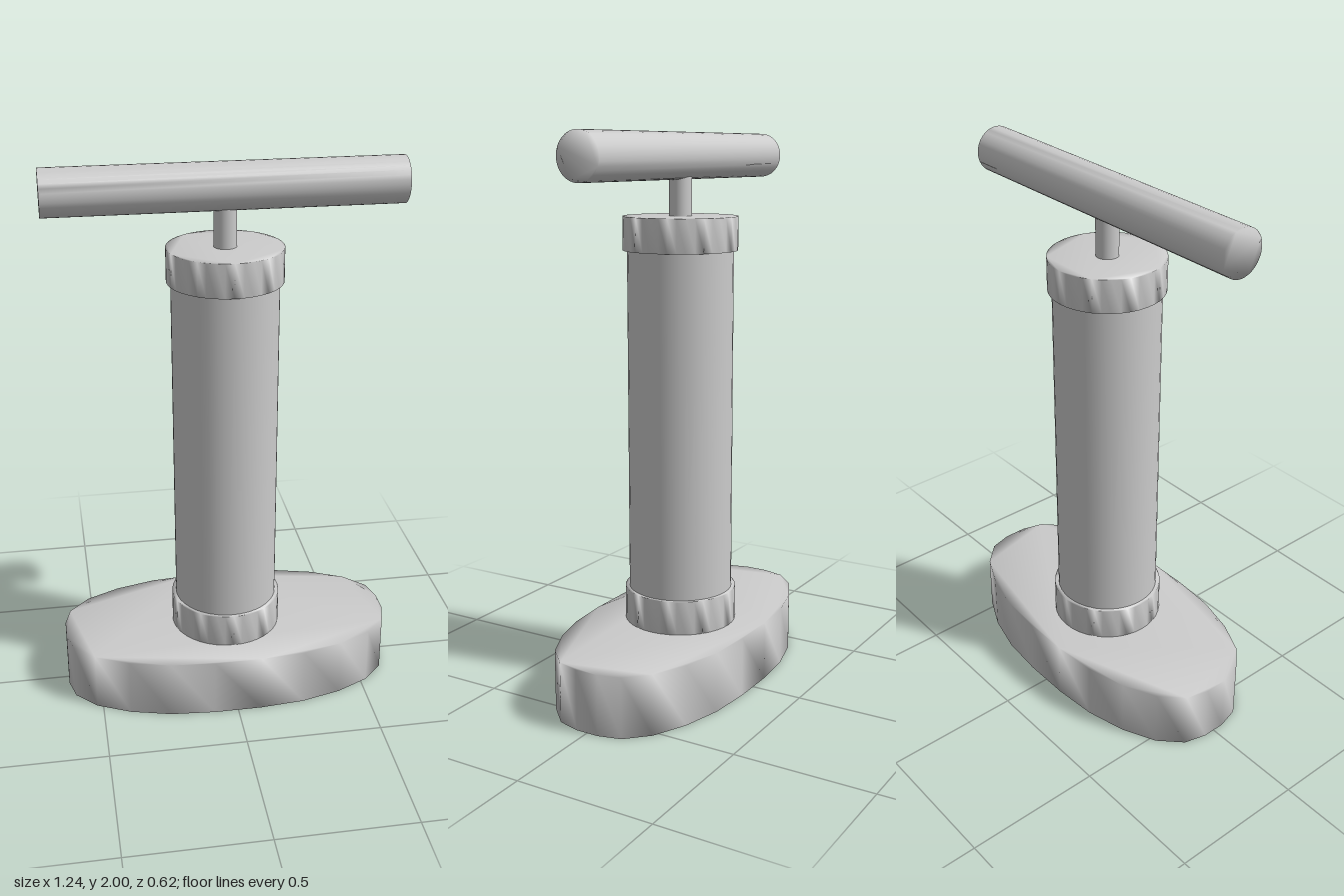
import * as THREE from 'three';
import { mergeVertices } from 'three/addons/utils/BufferGeometryUtils.js';

const material = new THREE.MeshStandardMaterial({ color: 0xcccccc });

// Closed prism along +z whose normals are shared between sides and caps.
function softPrism(points, length) {
  let geometry = new THREE.ExtrudeGeometry(new THREE.Shape(points), {
    depth: length, bevelEnabled: false, steps: 1,
  });
  geometry.deleteAttribute('uv');
  geometry.deleteAttribute('normal');
  geometry = mergeVertices(geometry, 1e-4);
  geometry.computeVertexNormals();
  return geometry;
}

function circle(radius, sides) {
  return Array.from({ length: sides }, (_, i) => {
    const a = (i / sides) * Math.PI * 2;
    return new THREE.Vector2(Math.cos(a) * radius, Math.sin(a) * radius);
  });
}

// Full outline of the foot plate, mirrored from one quarter.
function footOutline() {
  const quarter = [[0.62, 0.043], [0.598, 0.125], [0.522, 0.202], [0.4, 0.26], [0.252, 0.298], [0.088, 0.312]];
  const back = [...quarter].reverse();
  return [
    ...quarter,
    ...back.map(([x, y]) => [-x, y]),
    ...quarter.map(([x, y]) => [-x, -y]),
    ...back.map(([x, y]) => [x, -y]),
  ].map(([x, y]) => new THREE.Vector2(x, y));
}

export function createModel() {
  const group = new THREE.Group();
  const add = (name, geometry) => {
    const mesh = new THREE.Mesh(geometry, material);
    mesh.name = name;
    group.add(mesh);
    return mesh;
  };
  const upright = (name, points, bottom, top) => {
    add(name, softPrism(points, top - bottom).rotateX(-Math.PI / 2).translate(0, bottom, 0));
  };
  // Round shaft whose ends are buried in the neighbouring parts.
  const shaft = (name, radius, bottom, top) => {
    const geometry = new THREE.CylinderGeometry(radius, radius, top - bottom, 40, 1, true);
    add(name, geometry.translate(0, (bottom + top) / 2, 0));
  };

  // Foot plate and the two collars
  upright('footBase', footOutline(), 0, 0.22);
  upright('lowerCollar', circle(0.205, 40), 0.22, 0.345);
  upright('upperCollar', circle(0.205, 40), 1.59, 1.71);

  // Pump barrel and piston rod
  shaft('barrel', 0.19, 0.3, 1.63);
  shaft('pistonRod', 0.04, 1.68, 1.88);

  // Cross handle
  add('handle', softPrism(circle(0.082, 32), 1.24).translate(0, 0, -0.62).rotateY(Math.PI / 2).translate(0, 1.918, 0));

  return group;
}
